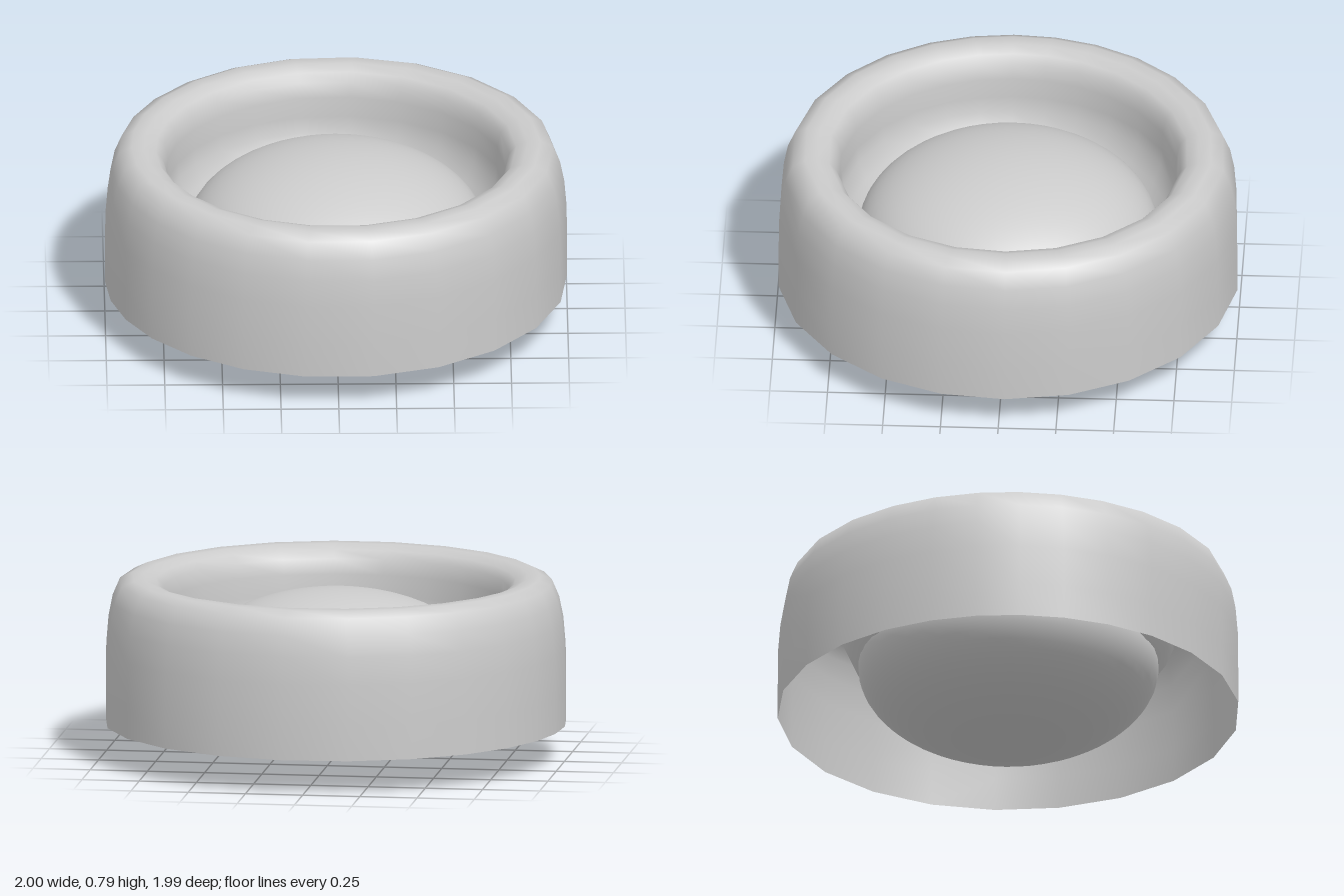
import * as THREE from 'three';
import { mergeVertices } from 'three/addons/utils/BufferGeometryUtils.js';

export function createModel() {
  const group = new THREE.Group();
  group.name = 'domedButton';

  // Hollow collar: open skirt, rounded rim, inner wall tapering onto the dome
  const profile = [
    [1, 0.15], [1, 0.3], [0.998, 0.48], [0.988, 0.6], [0.97, 0.69], [0.938, 0.765],
    [0.885, 0.79], [0.83, 0.79], [0.78, 0.77], [0.75, 0.735], [0.735, 0.67],
    [0.732, 0.58], [0.725, 0.51], [0.69, 0.43], [0.64, 0.37],
  ].map(([r, y]) => new THREE.Vector2(r, y));
  let collarGeo = new THREE.LatheGeometry(profile, 24);
  collarGeo.deleteAttribute('uv');
  collarGeo.deleteAttribute('normal');
  collarGeo = mergeVertices(collarGeo, 1e-4);

  // Facets are slightly narrower towards -x
  const pos = collarGeo.attributes.position;
  for (let i = 0; i < pos.count; i++) {
    const r = Math.hypot(pos.getX(i), pos.getZ(i));
    const t = Math.atan2(-pos.getZ(i), pos.getX(i)) + 0.026;
    const a = t + 0.17 * Math.sin(t) - 0.05 * Math.sin(2 * t);
    pos.setXYZ(i, r * Math.cos(a), pos.getY(i), -r * Math.sin(a));
  }
  collarGeo.computeVertexNormals();
  const collar = new THREE.Mesh(
    collarGeo,
    new THREE.MeshStandardMaterial({ color: 0xcccccc, side: THREE.DoubleSide })
  );
  collar.name = 'collar';
  group.add(collar);

  // Flattened ball held inside the collar, bulging out below
  const domeGeo = new THREE.SphereGeometry(1, 48, 32);
  domeGeo.scale(0.65, 0.365, 0.65);
  domeGeo.translate(0, 0.365, 0);
  const dome = new THREE.Mesh(domeGeo, new THREE.MeshStandardMaterial({ color: 0xcccccc }));
  dome.name = 'dome';
  group.add(dome);

  return group;
}
